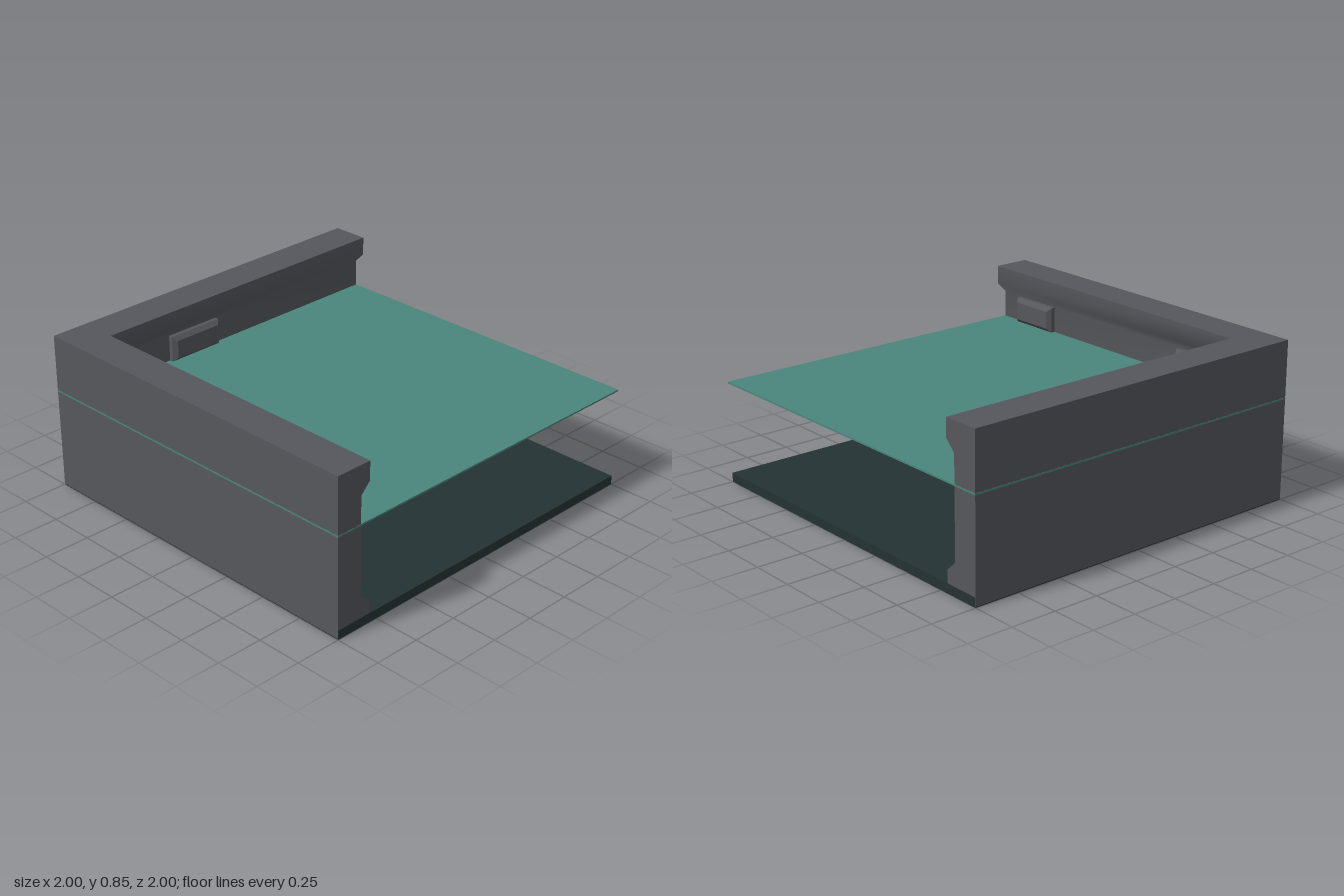
import * as THREE from 'three';
import { mergeGeometries } from 'three/addons/utils/BufferGeometryUtils.js';

const stone = new THREE.MeshStandardMaterial({ color: 0x55575c });
stone.name = 'grey stone';
const teal = new THREE.MeshStandardMaterial({ color: 0x4a857b });
teal.name = 'teal water';
const dark = new THREE.MeshStandardMaterial({ color: 0x243233 });
dark.name = 'dark bed';

const E = 0.999; // wall extent, a hair inside the water sheet so its line shows

// Wall profile as [distance in from the outer face, height]
const OUTER = [[0, 0.005], [0, 0.85]];
const TOP = [[0, 0.85], [0.2, 0.85]];
const INNER = [[0.2, 0.85], [0.2, 0.75], [0.145, 0.695], [0.145, 0.17], [0.2, 0.12], [0.2, 0.005]];
const BOTTOM = [[0.2, 0.005], [0, 0.005]];

// One run of the profile swept from the open end to the mitred corner
function strip(profile) {
  const pos = [], uv = [], index = [];
  profile.forEach(([o, y], i) => {
    pos.push(-E + o, y, E, -E + o, y, -E + o);
    uv.push(0, i, 1, i);
    if (i > 0) {
      const f0 = 2 * i - 2, b0 = f0 + 1, f1 = f0 + 2, b1 = f0 + 3;
      index.push(b0, f0, f1, b0, f1, b1);
    }
  });
  const g = new THREE.BufferGeometry();
  g.setAttribute('position', new THREE.Float32BufferAttribute(pos, 3));
  g.setAttribute('uv', new THREE.Float32BufferAttribute(uv, 2));
  g.setIndex(index);
  g.computeVertexNormals(); // softens the recess within a run
  return g;
}

function sideWallGeometry() {
  const outline = [...OUTER, ...INNER].map(([o, y]) => new THREE.Vector2(-E + o, y));
  const cap = new THREE.ShapeGeometry(new THREE.Shape(outline)).translate(0, 0, E);
  return mergeGeometries([...[OUTER, TOP, INNER, BOTTOM].map(strip), cap]);
}

// Mirror across the corner diagonal by swapping x and z
function swapXZ(geometry) {
  const g = geometry.clone();
  for (const name of ['position', 'normal']) {
    const a = g.attributes[name];
    for (let i = 0; i < a.count; i++) a.setXYZ(i, a.getZ(i), a.getY(i), a.getX(i));
  }
  g.setIndex(Array.from(g.index.array).reverse());
  return g;
}

// Chamfered block standing out of a wall, facing +z
function brickGeometry(w, h) {
  const s = new THREE.Shape();
  s.moveTo(-w / 2, -h / 2);
  s.lineTo(w / 2, -h / 2);
  s.lineTo(w / 2, h / 2);
  s.lineTo(-w / 2, h / 2);
  s.closePath();
  return new THREE.ExtrudeGeometry(s, {
    depth: 0.05, bevelEnabled: true, bevelSegments: 1,
    bevelSize: 0.022, bevelThickness: 0.022, bevelOffset: -0.022,
  }).translate(0, 0, -0.072); // front face at z = 0
}

export function createModel() {
  const model = new THREE.Group();
  model.name = 'canalCorner';
  const add = (name, geometry, material, parent = model) => {
    const mesh = new THREE.Mesh(geometry, material);
    mesh.name = name;
    parent.add(mesh);
    return mesh;
  };

  // Bed and water sheet
  add('bed', new THREE.BoxGeometry(1.998, 0.05, 1.998), dark).position.set(0.001, 0.025, 0.001);
  add('water', new THREE.BoxGeometry(2, 0.009, 2), teal).position.y = 0.545;

  // Two mitred walls
  const side = sideWallGeometry();
  add('rightWall', side, stone);
  add('backWall', swapXZ(side), stone);

  // Bricks as [start, end, bottom, top]
  const bricks = new THREE.Group();
  bricks.name = 'bricks';
  model.add(bricks);
  const FACE = -0.81;
  for (const [a, b, y0, y1] of [
    [-0.38, -0.06, 0.55, 0.69],
    [0.42, 0.66, 0.315, 0.46],
    [-0.15, 0.09, 0.145, 0.275],
  ]) {
    add('backBrick', brickGeometry(b - a, y1 - y0), stone, bricks)
      .position.set((a + b) / 2, (y0 + y1) / 2, FACE);
  }
  for (const [a, b, y0, y1] of [
    [0.575, 0.865, 0.55, 0.69],
    [-0.63, -0.39, 0.55, 0.69],
    [0.55, 0.84, 0.315, 0.46],
    [-0.87, -0.575, 0.315, 0.46],
    [-0.725, -0.435, 0.145, 0.275],
  ]) {
    const brick = add('sideBrick', brickGeometry(b - a, y1 - y0), stone, bricks);
    brick.rotation.y = Math.PI / 2;
    brick.position.set(FACE, (y0 + y1) / 2, (a + b) / 2);
  }
  return model;
}
